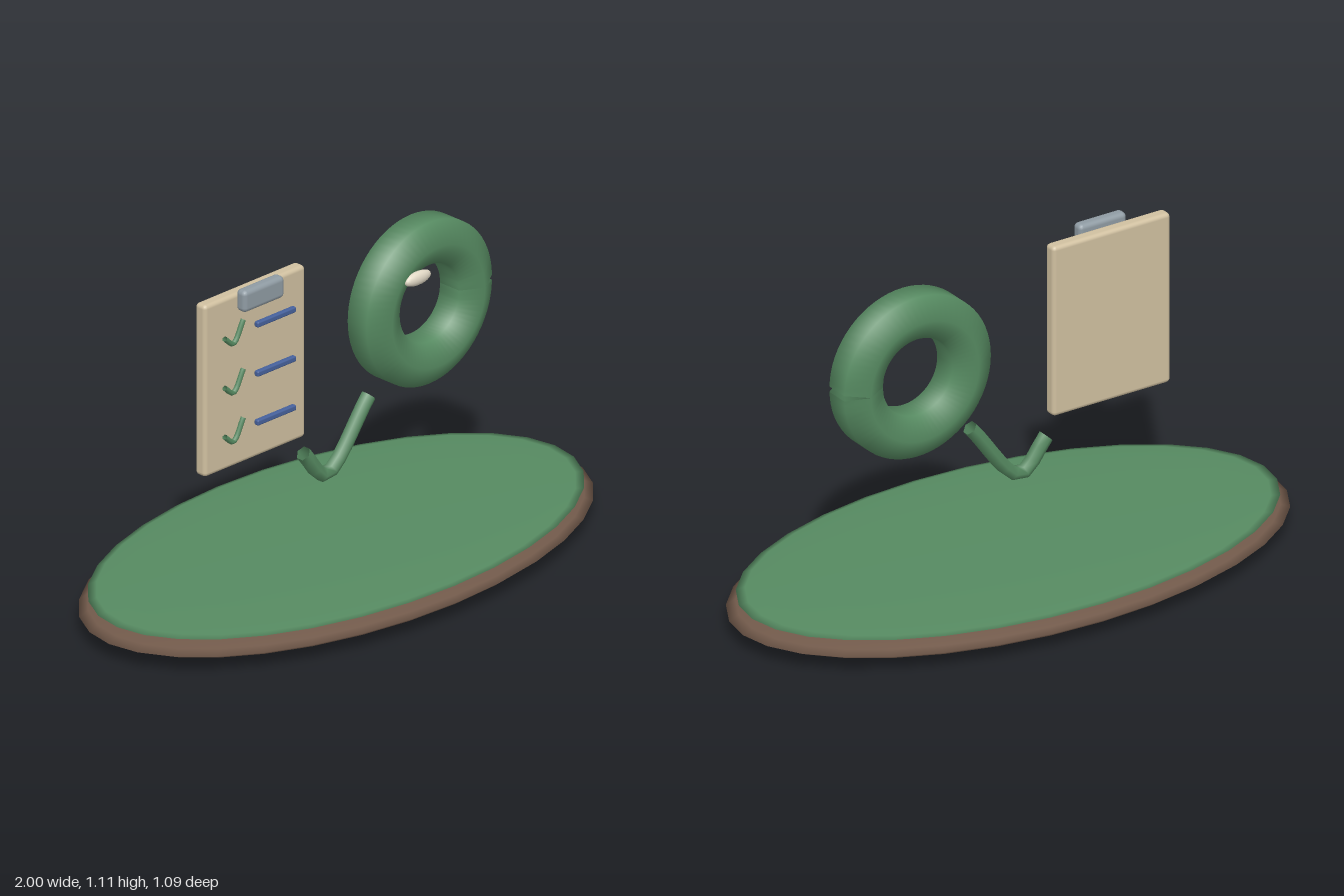
import * as THREE from 'three';
import { RoundedBoxGeometry } from 'three/addons/geometries/RoundedBoxGeometry.js';

const mat = (color, side = THREE.FrontSide) => new THREE.MeshStandardMaterial({ color, side });

export function createModel() {
  const group = new THREE.Group();
  const green = mat(0x568a61);
  const greenOpen = mat(0x568a61, THREE.DoubleSide);
  const brown = mat(0x71594a);
  const tan = mat(0xd0c0a0);
  const steel = mat(0x8f9ba3);
  const blue = mat(0x46619c);
  const ivory = mat(0xe2d9c6);

  const add = (name, geometry, material, x = 0, y = 0, z = 0) => {
    const mesh = new THREE.Mesh(geometry, material);
    mesh.name = name;
    mesh.position.set(x, y, z);
    group.add(mesh);
    return mesh;
  };
  const ellipsoid = (rx, ry, rz, w = 32, h = 12) =>
    new THREE.SphereGeometry(1, w, h).scale(rx, ry, rz);
  // Open six-sided tube through points in the xy plane
  const tube = (points, radius, segments) => new THREE.TubeGeometry(
    new THREE.CatmullRomCurve3(points.map(([x, y]) => new THREE.Vector3(x, y, 0))),
    segments, radius, 6, false);

  // Flat oval island: earth below, grass above
  add('earthBase', ellipsoid(1, 0.058, 0.545), brown, 0, 0.058, 0);
  add('grassTop', ellipsoid(0.965, 0.017, 0.525), green, 0, 0.105, 0);

  // Clipboard
  add('board', new RoundedBoxGeometry(0.445, 0.59, 0.046, 2, 0.014), tan, -0.378, 0.8, 0);
  add('clip', new RoundedBoxGeometry(0.18, 0.075, 0.042, 2, 0.016), steel, -0.378, 1.077, 0.045);

  // Checklist rows
  for (const y of [0.967, 0.798, 0.63]) {
    add('listTick', tube([[-0.038, -0.005], [0, -0.033], [0.044, 0.036]], 0.009, 10),
      greenOpen, -0.484, y, 0.032);
    add('listLine', new RoundedBoxGeometry(0.17, 0.019, 0.018, 2, 0.005), blue, -0.3, y, 0.033);
  }

  // Large tick
  add('largeTick', tube([[-0.144, 0.436], [-0.045, 0.333], [0.144, 0.543]], 0.025, 10), greenOpen);

  // Coiled ring whose two ends meet at a narrow notch
  const circle = [];
  for (let i = 0; i <= 24; i++) {
    const a = (i / 24) * Math.PI * 2;
    circle.push([0.204 * Math.cos(a), 0.204 * Math.sin(a)]);
  }
  add('ring', tube(circle, 0.084, 64), greenOpen, 0.37, 0.8, 0);
  add('ringSpot', ellipsoid(0.057, 0.023, 0.017, 16, 10), ivory, 0.285, 0.924, 0.075);

  return group;
}
